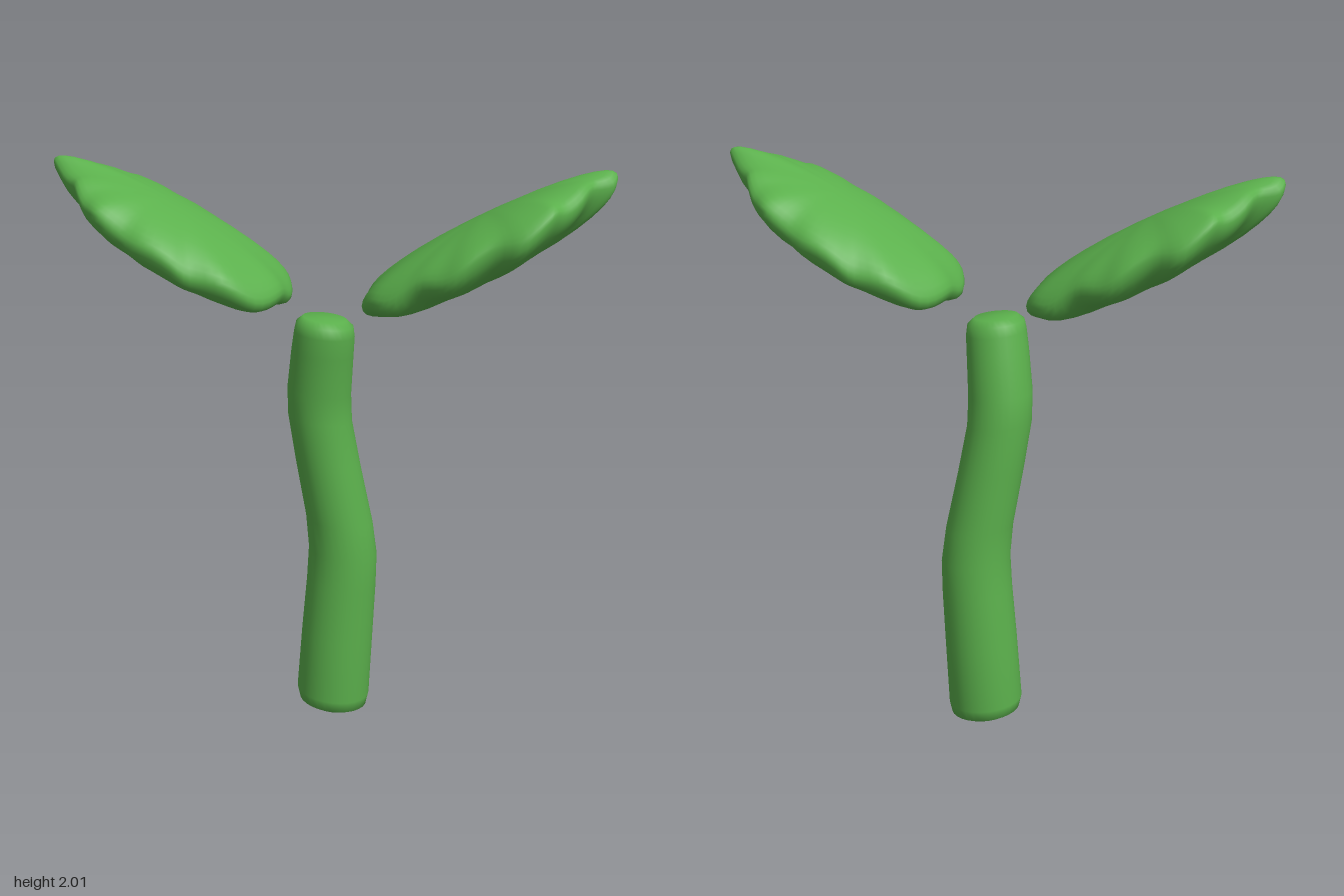
import * as THREE from 'three';

// Closed surface from loops of points, with a single point at each end.
function skin(loops, first, last, material, name) {
  const n = loops[0].length;
  const pos = [], idx = [];
  loops.forEach(loop => loop.forEach(p => pos.push(p.x, p.y, p.z)));
  pos.push(first.x, first.y, first.z, last.x, last.y, last.z);
  const a = loops.length * n, b = a + 1, end = (loops.length - 1) * n;
  for (let j = 0; j < n; j++) {
    const k = (j + 1) % n;
    idx.push(a, j, k, b, end + k, end + j);
    for (let i = 0; i < loops.length - 1; i++) {
      const p = i * n + j, q = i * n + k;
      idx.push(p, p + n, q, q, p + n, q + n);
    }
  }
  const geo = new THREE.BufferGeometry();
  geo.setAttribute('position', new THREE.Float32BufferAttribute(pos, 3));
  geo.setIndex(idx);
  geo.computeVertexNormals();
  const mesh = new THREE.Mesh(geo, material);
  mesh.name = name;
  return mesh;
}

// Leaning stem: rounded ends and a gentle S bend.
function makeStem(material) {
  const sections = [ // y, centre x, centre z, radius
    [0.015, 0, -0.08, 0.095], [0.03, 0, -0.08, 0.122], [0.07, 0, -0.08, 0.131],
    [0.3, 0.015, -0.082, 0.128], [0.5, 0.03, -0.081, 0.124], [0.62, 0.036, -0.078, 0.122],
    [0.74, 0.024, -0.073, 0.119], [0.95, -0.013, -0.057, 0.115], [1.12, -0.039, -0.043, 0.112],
    [1.22, -0.039, -0.033, 0.111], [1.36, -0.022, -0.012, 0.107], [1.43, -0.012, -0.001, 0.104],
    [1.465, -0.01, 0, 0.098], [1.485, -0.01, 0, 0.075],
  ];
  const sides = 28;
  const loops = sections.map(([y, cx, cz, r]) => {
    const loop = [];
    for (let j = 0; j < sides; j++) {
      const t = j / sides * Math.PI * 2;
      const x = Math.cos(t) * r, z = -Math.sin(t) * r;
      loop.push(new THREE.Vector3(cx + x, y - x * 0.11, cz + z));
    }
    return loop;
  });
  return skin(loops, new THREE.Vector3(0, 0.014, -0.08),
    new THREE.Vector3(-0.01, 1.487, 0), material, 'stem');
}

// Thick, tilted leaf with a ragged rim, domed above and below.
function makeLeaf(material, name) {
  const outline = [ // x, z seen from above
    [0.135, 0], [0.14, -0.09], [0.19, -0.19], [0.27, -0.25], [0.37, -0.27], [0.44, -0.295],
    [0.55, -0.295], [0.63, -0.27], [0.71, -0.272], [0.77, -0.225], [0.81, -0.19], [0.85, -0.135],
    [0.91, -0.085], [0.95, -0.05], [0.945, -0.01], [0.89, 0.03], [0.86, 0.1], [0.81, 0.165],
    [0.78, 0.215], [0.7, 0.268], [0.61, 0.258], [0.5, 0.292], [0.42, 0.275], [0.34, 0.25],
    [0.26, 0.24], [0.19, 0.19], [0.14, 0.09],
  ].map(([x, z]) => new THREE.Vector3(x, 0, z));
  const rim = new THREE.CatmullRomCurve3(outline, true).getPoints(96).slice(0, 96);
  const centre = new THREE.Vector3(0.53, 0, 0);
  const axisY = x => 1.568 + 0.515 * (x - 0.15);
  const ring = (s, h) => rim.map((p, j) => {
    const q = centre.clone().lerp(p, s);
    const wave = 0.012 * Math.sin(j * Math.PI * 2 * 11 / 96) * s ** 6;
    q.y = axisY(q.x) + h * Math.sqrt(Math.max(0, 1 - s ** 2.4))
      - 0.4 * q.z * q.z + wave;
    return q;
  });
  const steps = [0.2, 0.4, 0.58, 0.72, 0.83, 0.91, 0.96, 0.99];
  const loops = [
    ...steps.map(s => ring(s, -0.128)),
    ring(1, 0),
    ...steps.slice().reverse().map(s => ring(s, 0.1)),
  ];
  const y = axisY(centre.x);
  return skin(loops, new THREE.Vector3(centre.x, y - 0.128, 0),
    new THREE.Vector3(centre.x, y + 0.1, 0), material, name);
}

export function createModel() {
  const green = new THREE.MeshStandardMaterial({ color: 0x5bb04c });
  green.name = 'leaf green';
  green.side = THREE.DoubleSide;

  const model = new THREE.Group();
  model.name = 'sprout';
  model.add(makeStem(green));
  model.add(makeLeaf(green, 'leftLeaf'));

  // The opposite leaf is the same shape turned half way round.
  const rightLeaf = makeLeaf(green, 'rightLeaf');
  rightLeaf.rotation.y = Math.PI;
  rightLeaf.position.x = -0.01;
  model.add(rightLeaf);
  return model;
}
